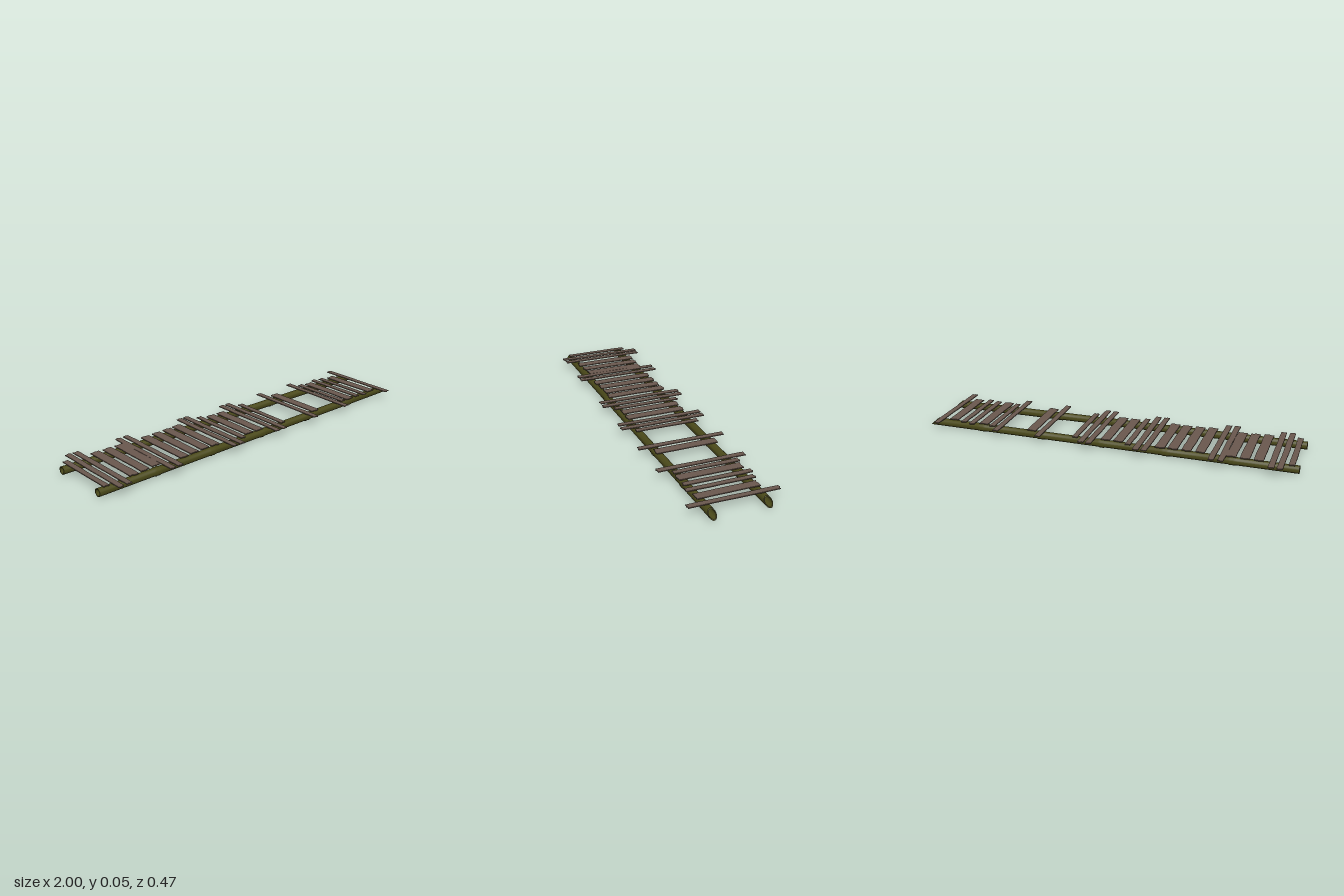
import * as THREE from 'three';
import { toCreasedNormals } from 'three/addons/utils/BufferGeometryUtils.js';

const bamboo = new THREE.MeshStandardMaterial({ name: 'olive bamboo', color: 0x4b4a1a });
const wood = new THREE.MeshStandardMaterial({ name: 'weathered wood', color: 0x6b594f });

const R = 0.0205, NODE = 0.0235, INNER = 0.0165;

// small seeded generator, returns -1..1
function makeRandom(seed) {
  return () => {
    seed = (seed * 16807) % 2147483647;
    return (seed / 2147483647) * 2 - 1;
  };
}

// Hollow bamboo pole along x, with raised nodes and a slanted cut at the +x end
function makePole() {
  const profile = [new THREE.Vector2(R, -1)];
  for (const n of [-0.67, -0.33, 0.01, 0.35, 0.69]) {
    profile.push(
      new THREE.Vector2(R, n - 0.02),
      new THREE.Vector2(NODE, n - 0.008),
      new THREE.Vector2(NODE - 0.002, n),
      new THREE.Vector2(NODE, n + 0.008),
      new THREE.Vector2(R, n + 0.02));
  }
  profile.push(
    new THREE.Vector2(R, 1), new THREE.Vector2(INNER, 1),
    new THREE.Vector2(INNER, -1), new THREE.Vector2(R, -1));
  const geo = new THREE.LatheGeometry(profile, 20);
  geo.rotateZ(-Math.PI / 2);
  const p = geo.attributes.position;
  for (let i = 0; i < p.count; i++) {
    if (p.getX(i) > 0.95) p.setX(i, 1 - 0.045 * (p.getY(i) + R) / (2 * R));
  }
  return new THREE.Mesh(toCreasedNormals(geo, 0.6), bamboo);
}

// Thin plank along z with slightly wavy sides and splintered ends
function makePlank(width, z0, z1, rand) {
  const w = width / 2, steps = 6, left = [], right = [];
  for (let i = 0; i <= steps; i++) {
    const z = z0 + (z1 - z0) * i / steps;
    left.push([-w + rand() * 0.0015, z]);
    right.push([w + rand() * 0.0015, z]);
  }
  const end = (z) => [-0.5, 0, 0.5].map((k) => [k * w, z + rand() * 0.005]);
  const outline = [...end(z0), ...right, ...end(z1).reverse(), ...left.reverse()];
  const shape = new THREE.Shape(outline.map(([x, z]) => new THREE.Vector2(x, -z)));
  const geo = new THREE.ExtrudeGeometry(shape, { depth: 0.005, bevelEnabled: false });
  geo.rotateX(-Math.PI / 2);
  return new THREE.Mesh(geo, wood);
}

// plank kinds: width, back end, front end
const KINDS = {
  long: [0.03, -0.229, 0.227],
  wide: [0.049, -0.162, 0.161],
  narrow: [0.029, -0.177, 0.172],
};

// plank centres along the walkway
const PLANKS = {
  long: [-0.915, -0.87, -0.625, -0.578, -0.236, -0.191, 0.057, 0.102, 0.338, 0.577, 0.922],
  wide: [-0.802, -0.733, -0.666, -0.508, -0.439, -0.369, -0.304, -0.08, -0.011,
    0.398, 0.674, 0.856],
  narrow: [-0.963, -0.139, 0.15, 0.62, 0.738, 0.791],
};

export function createModel() {
  const model = new THREE.Group();
  model.name = 'plankWalkway';

  const backPole = makePole();
  backPole.name = 'backPole';
  backPole.position.set(0, NODE, -0.145);
  model.add(backPole);

  // the front pole runs slightly askew
  const frontPole = makePole();
  frontPole.name = 'frontPole';
  frontPole.position.set(0, NODE, 0.145);
  frontPole.rotation.y = 0.015;
  model.add(frontPole);

  const planks = new THREE.Group();
  planks.name = 'planks';
  const rand = makeRandom(4711);
  for (const [kind, centres] of Object.entries(PLANKS)) {
    const [width, z0, z1] = KINDS[kind];
    for (const x of centres) {
      const jitter = kind === 'long' ? 0.002 : 0.008;
      const plank = makePlank(width, z0 + rand() * jitter, z1 + rand() * jitter, rand);
      plank.name = kind + 'Plank';
      plank.position.set(x, 0.0488 + rand() * 0.0006, 0);
      plank.rotation.y = rand() * 0.008;
      planks.add(plank);
    }
  }
  model.add(planks);
  return model;
}
